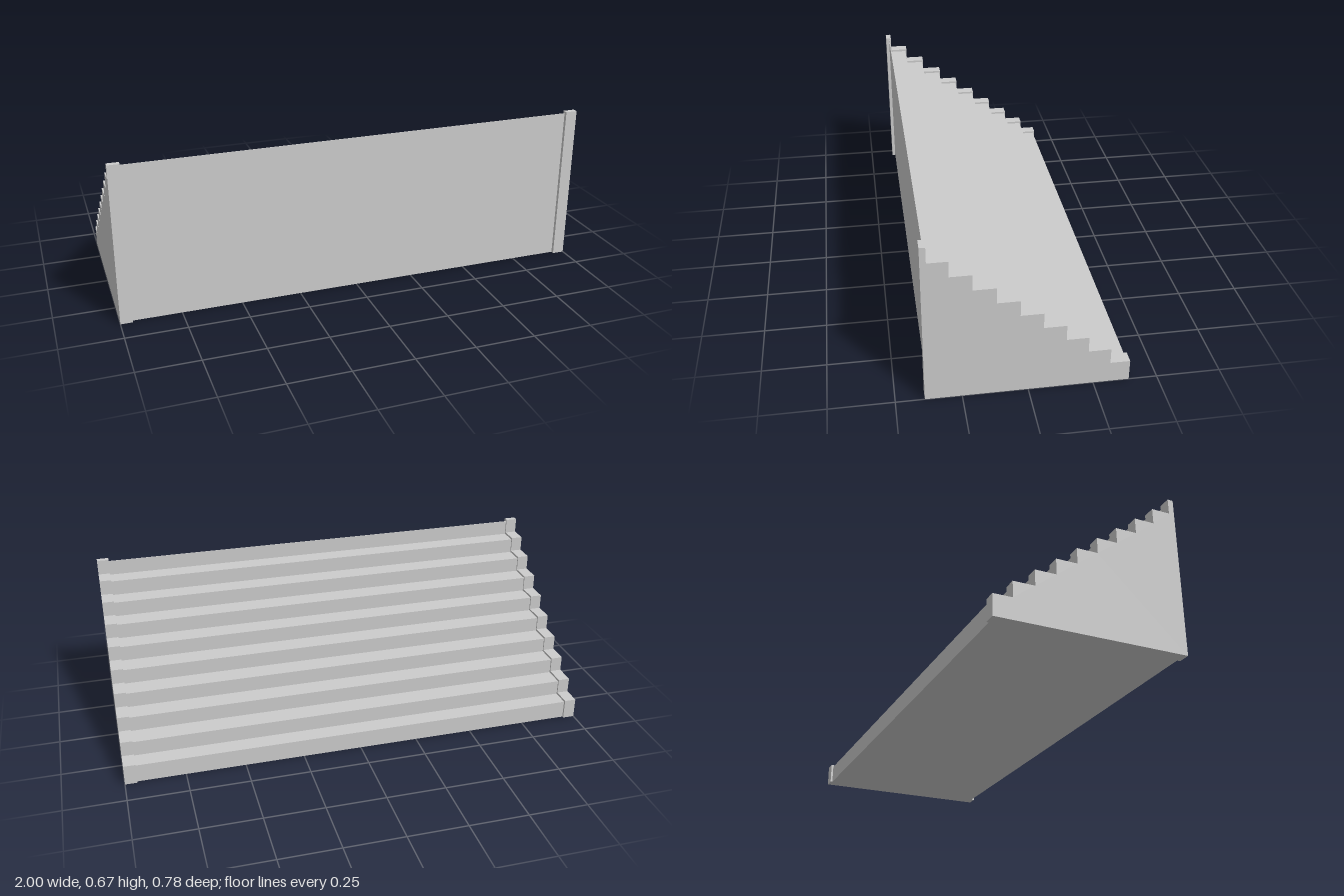
import * as THREE from 'three';

const HALF = 0.39;       // half depth of the side panels
const PANEL = 0.05;      // thickness of a side panel
const RISE = 0.065;
// where each riser stands, from the low back step to the tall front wall
const RISERS = [-0.313, -0.226, -0.14, -0.053, 0.034, 0.12, 0.207, 0.29, 0.367];

// Stepped side outline in (z, y), extruded to a given width along x
function steppedSolid(back, front, firstHeight, riserShift, width) {
  const shape = new THREE.Shape();
  shape.moveTo(-front, 0);
  shape.lineTo(-back, 0);
  let y = firstHeight;
  shape.lineTo(-back, y);
  for (const r of RISERS) {
    shape.lineTo(-(r + riserShift), y);
    y += RISE;
    shape.lineTo(-(r + riserShift), y);
  }
  shape.lineTo(-front, y);
  shape.closePath();
  const geometry = new THREE.ExtrudeGeometry(shape, { depth: width, bevelEnabled: false });
  geometry.translate(0, 0, -width / 2);
  geometry.rotateY(Math.PI / 2); // shape x becomes -z, extrusion runs along x
  return geometry;
}

export function createModel() {
  const group = new THREE.Group();
  group.name = 'staircase';
  const material = new THREE.MeshStandardMaterial({ color: 0xcccccc });

  // Steps, slightly recessed between the side panels
  const steps = new THREE.Mesh(
    steppedSolid(-HALF + 0.009, 0.376, 0.078, 0.0065, 2 - 2 * PANEL), material);
  steps.name = 'steps';
  group.add(steps);

  // Side panels that follow the steps
  const panelGeometry = steppedSolid(-HALF, HALF, 0.087, 0, PANEL);
  for (const side of [1, -1]) {
    const panel = new THREE.Mesh(panelGeometry, material);
    panel.name = side > 0 ? 'leftSidePanel' : 'rightSidePanel';
    panel.position.x = side * (1 - PANEL / 2);
    group.add(panel);
  }
  return group;
}
